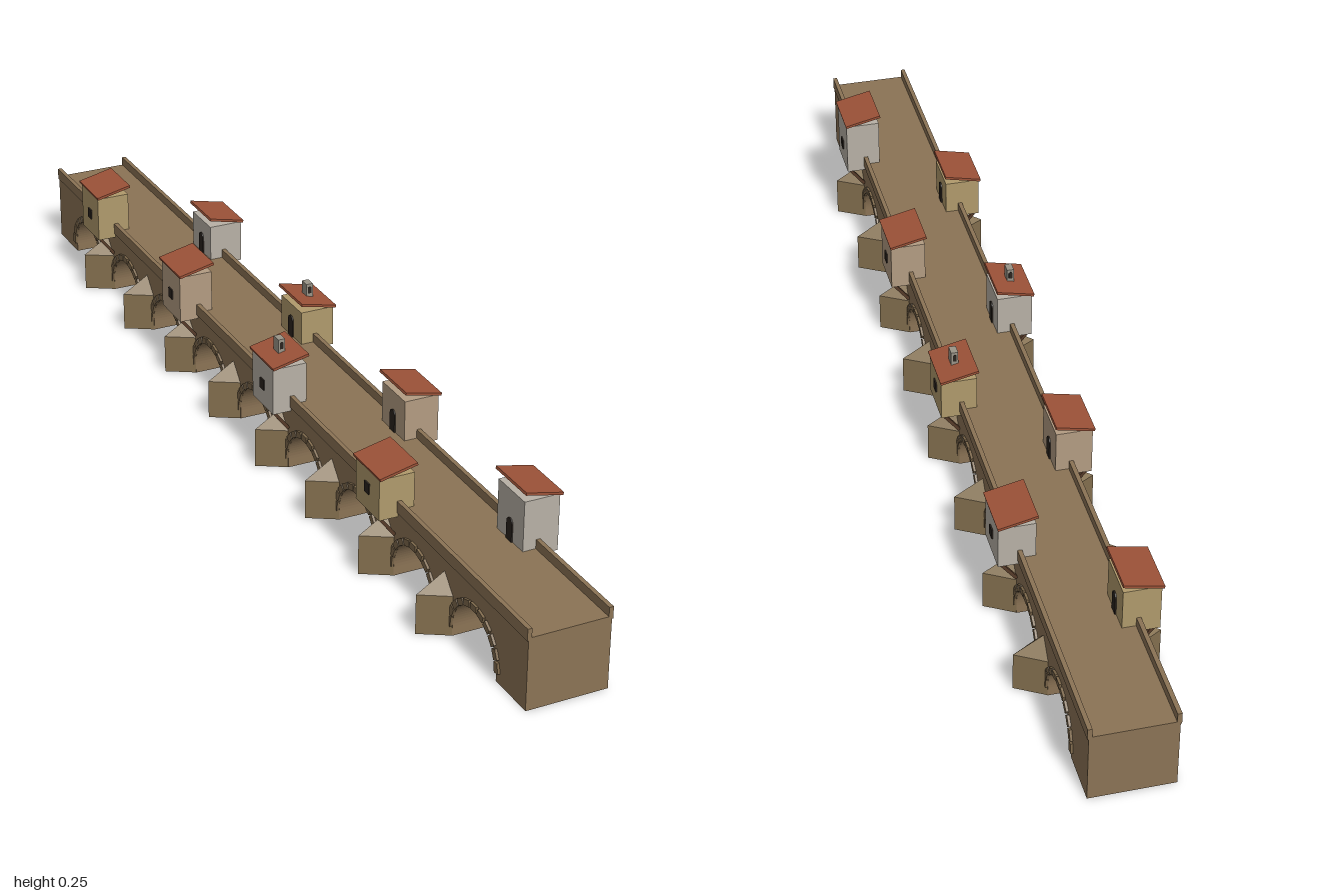
import * as THREE from 'three';

const mat = (color) => new THREE.MeshStandardMaterial({ color, flatShading: true });
const stone = mat(0x8b7355), pierStone = mat(0x84704f), ringStone = mat(0x7d684b);
const tile = mat(0x9c5238), wood = mat(0x553a28), dark = mat(0x2a231e), chimneyStone = mat(0x9a9488);
const plaster = { grey: mat(0xb8b1a6), tan: mat(0xb09a6c), rose: mat(0xb39c82) };

const HALF = 0.075, DECK = 0.135, STEP = 0.208, R = 0.073, SPRING = 0.017;

function add(parent, name, geometry, material, x = 0, y = 0, z = 0) {
  const mesh = new THREE.Mesh(geometry, material);
  mesh.name = name;
  mesh.position.set(x, y, z);
  parent.add(mesh);
  return mesh;
}
const box = (w, h, d) => new THREE.BoxGeometry(w, h, d);

// Side profile with nine arch notches, extruded across the width
function bridgeBody() {
  const s = new THREE.Shape();
  s.moveTo(-1, DECK);
  s.lineTo(-1, 0);
  for (let i = -4; i <= 4; i++) {
    const c = i * STEP;
    s.lineTo(c - R, 0);
    s.lineTo(c - R, SPRING);
    s.absarc(c, SPRING, R, Math.PI, 0, true);
    s.lineTo(c + R, 0);
  }
  s.lineTo(1, 0);
  s.lineTo(1, DECK);
  const g = new THREE.ExtrudeGeometry(s, { depth: 2 * HALF, bevelEnabled: false, curveSegments: 20 });
  return g.translate(0, 0, -HALF).rotateY(-Math.PI / 2);
}

// Triangular breakwater with a sloping pyramid cap, pointing to +x
function cutwater() {
  const w = 0.031, h = 0.075, tip = 0.127, top = 0.108, x = HALF - 0.001;
  const p = [[x, 0, w], [tip, 0, 0], [x, 0, -w], [x, h, w], [tip, h, 0], [x, h, -w], [x, top, 0]];
  const faces = [0, 1, 4, 0, 4, 3, 1, 2, 5, 1, 5, 4, 0, 2, 1, 3, 4, 6, 4, 5, 6];
  const g = new THREE.BufferGeometry();
  g.setAttribute('position', new THREE.Float32BufferAttribute(faces.flatMap((i) => p[i]), 3));
  g.computeVertexNormals();
  return g;
}

// Round-headed opening, standing on y = 0 and facing +z
function archPanel(w, h, depth) {
  const s = new THREE.Shape();
  s.moveTo(-w / 2, 0);
  s.lineTo(w / 2, 0);
  s.lineTo(w / 2, h - w / 2);
  s.absarc(0, h - w / 2, w / 2, 0, Math.PI, false);
  return new THREE.ExtrudeGeometry(s, { depth, bevelEnabled: false, curveSegments: 6 }).translate(0, 0, -depth / 2);
}

// House overhanging the +x side: door to the road, window to the water
function house(top, material, chimney) {
  const g = new THREE.Group();
  const cx = 0.078, base = 0.122;
  add(g, 'houseWalls', box(0.066, top - base, 0.086), material, cx, (top + base) / 2, 0);

  const roof = add(g, 'roof', box(0.072, 0.005, 0.1), tile, cx, top + 0.011, 0);
  roof.rotation.z = -0.22;

  add(g, 'door', archPanel(0.018, 0.042, 0.004).rotateY(Math.PI / 2), dark, cx - 0.0335, DECK, 0);
  add(g, 'window', box(0.004, 0.02, 0.016), dark, cx + 0.0335, 0.165, 0);

  // Diagonal props under the overhang
  for (const z of [-0.032, 0.032]) {
    const strut = add(g, 'strut', box(0.006, 0.052, 0.006), wood, 0.0915, 0.103, z);
    strut.rotation.z = -0.66;
  }
  if (chimney) {
    const y = top + 0.009;
    add(g, 'chimney', box(0.013, 0.032, 0.02), chimneyStone, cx, y + 0.014, 0);
    add(g, 'chimneyOpening', archPanel(0.007, 0.014, 0.021), dark, cx, y + 0.011, 0);
  }
  return g;
}

export function createModel() {
  const bridge = new THREE.Group();
  bridge.name = 'bridge';
  add(bridge, 'archedBody', bridgeBody(), stone);

  for (const side of [-1, 1]) {
    add(bridge, 'parapet', box(0.008, 0.022, 2), stone, side * 0.0732, 0.141, 0);
  }

  // Raised ring of wedge stones round each arch, on both faces
  const ring = box(0.008, 0.012, 0.019);
  const count = 11;
  for (let i = -4; i <= 4; i++) {
    for (const side of [-1, 1]) {
      for (let k = 0; k < count; k++) {
        const a = ((k + 0.5) / count) * Math.PI;
        const r = R + 0.006;
        const v = add(bridge, 'archStone', ring, ringStone,
          side * 0.0755, SPRING + r * Math.sin(a), i * STEP + r * Math.cos(a));
        v.rotation.x = Math.PI / 2 - a;
      }
    }
  }

  // Breakwaters on both ends of every pier, houses on alternating sides
  const houses = [
    [0.212, 'tan'], [0.205, 'grey'], [0.215, 'rose'], [0.2, 'tan', true],
    [0.212, 'grey', true], [0.212, 'rose'], [0.2, 'tan'], [0.228, 'grey'],
  ];
  const cut = cutwater();
  houses.forEach(([top, colour, chimney], i) => {
    const z = (i - 3.5) * STEP;
    for (const turn of [0, Math.PI]) {
      add(bridge, 'cutwater', cut, pierStone, 0, 0, z).rotation.y = turn;
    }
    const h = house(top, plaster[colour], chimney);
    h.name = 'house';
    h.position.z = z;
    h.rotation.y = i % 2 ? 0 : Math.PI;
    bridge.add(h);
  });
  return bridge;
}
